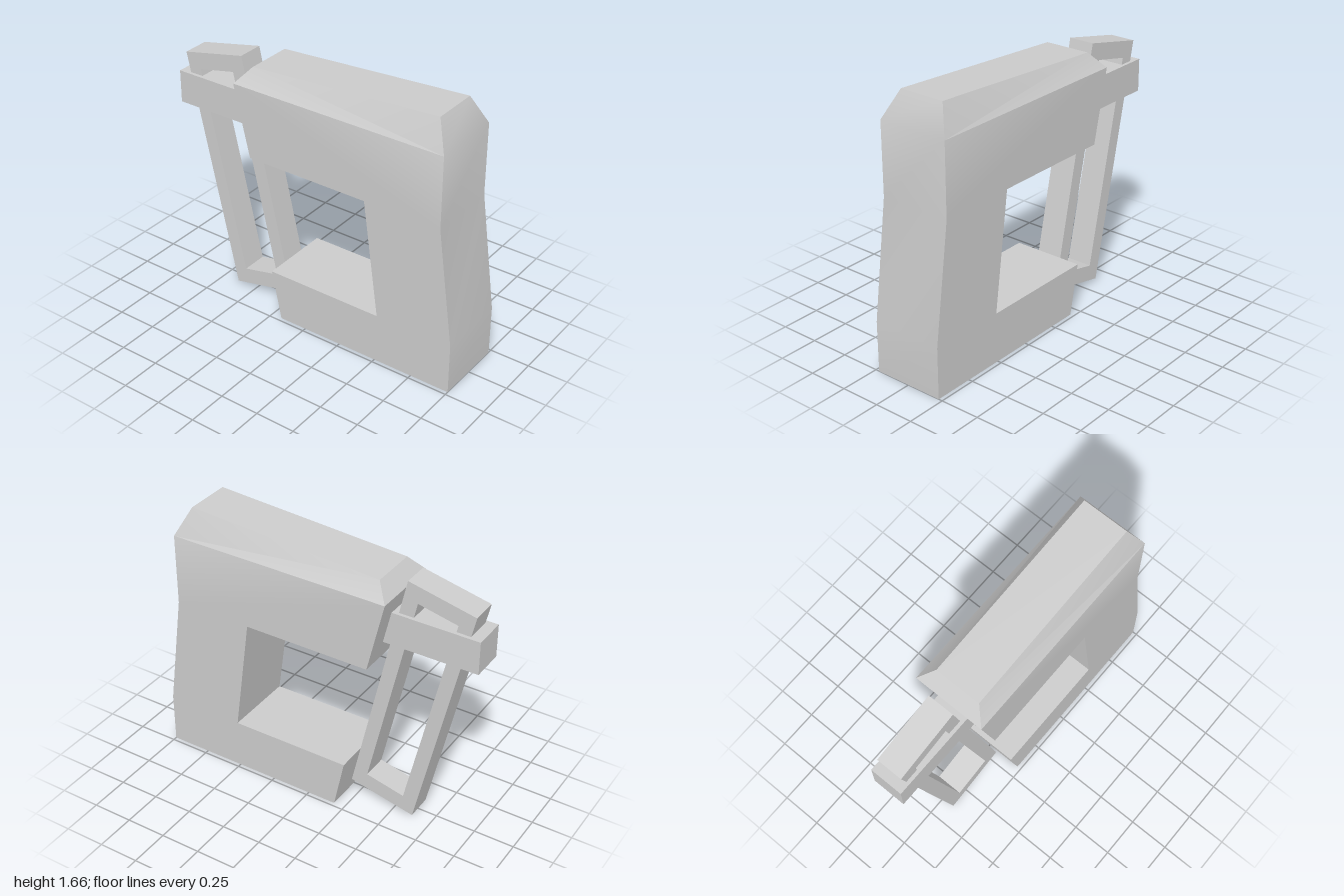
import * as THREE from 'three';
import { mergeGeometries, toCreasedNormals } from 'three/addons/utils/BufferGeometryUtils.js';

const HALF = 0.225;      // body half width
const TOP_HALF = 0.145;  // half width of the flat top
const SHOULDER = 1.49;   // height where the chamfer begins

// Extrude a (z, y) side profile symmetrically across x
function sideExtrude(points, halfWidth, hole) {
  const toVec = ([z, y]) => new THREE.Vector2(z, y);
  const shape = new THREE.Shape(points.map(toVec));
  if (hole) shape.holes.push(new THREE.Path(hole.map(toVec)));
  const geo = new THREE.ExtrudeGeometry(shape, { depth: 2 * halfWidth, bevelEnabled: false });
  geo.translate(0, 0, -halfWidth);
  geo.rotateY(-Math.PI / 2);
  return geo;
}

// Drop the hidden faces lying flat on the shoulder plane
function dropShoulderFaces(geo) {
  const p = geo.attributes.position;
  const kept = [];
  for (let i = 0; i < p.count; i += 3) {
    const flat = [0, 1, 2].every((k) => Math.abs(p.getY(i + k) - SHOULDER) < 1e-4);
    if (flat) continue;
    for (let k = 0; k < 3; k++) kept.push(p.getX(i + k), p.getY(i + k), p.getZ(i + k));
  }
  const out = new THREE.BufferGeometry();
  out.setAttribute('position', new THREE.Float32BufferAttribute(kept, 3));
  return out;
}

export function createModel() {
  const group = new THREE.Group();
  const material = new THREE.MeshStandardMaterial({ color: 0xcccccc });
  const add = (name, geo) => {
    const mesh = new THREE.Mesh(geo, material);
    mesh.name = name;
    group.add(mesh);
    return mesh;
  };

  // C-shaped body up to the shoulder
  const lower = sideExtrude([
    [1, 0], [1, 0.32], [0.9, 1.045], [0.9, SHOULDER], [-0.49, SHOULDER], [-0.385, 1.045],
    [0.41, 1.045], [0.51, 0.315], [-0.245, 0.315], [-0.18, 0],
  ], HALF);

  // Chamfered cap, narrowed towards the top
  const cap = sideExtrude([[0.9, SHOULDER], [0.82, 1.66], [-0.41, 1.585], [-0.49, SHOULDER]], HALF);
  const p = cap.attributes.position;
  for (let i = 0; i < p.count; i++) {
    if (p.getY(i) > SHOULDER + 0.01) p.setX(i, Math.sign(p.getX(i)) * TOP_HALF);
  }
  const body = mergeGeometries([lower, cap].map(dropShoulderFaces));
  add('body', toCreasedNormals(body, THREE.MathUtils.degToRad(32)));

  // Tilted rectangular loop behind the body
  add('loop', sideExtrude(
    [[-0.545, 1.59], [-0.96, 1.5], [-0.63, 0.01], [-0.215, 0.1]], 0.082,
    [[-0.61, 1.47], [-0.855, 1.417], [-0.565, 0.127], [-0.32, 0.182]],
  ));

  // Block that joins the loop to the body
  const bracket = add('bracket', new THREE.BoxGeometry(0.206, 0.205, 0.59));
  bracket.position.set(0, 1.2725, -0.705);

  return group;
}
